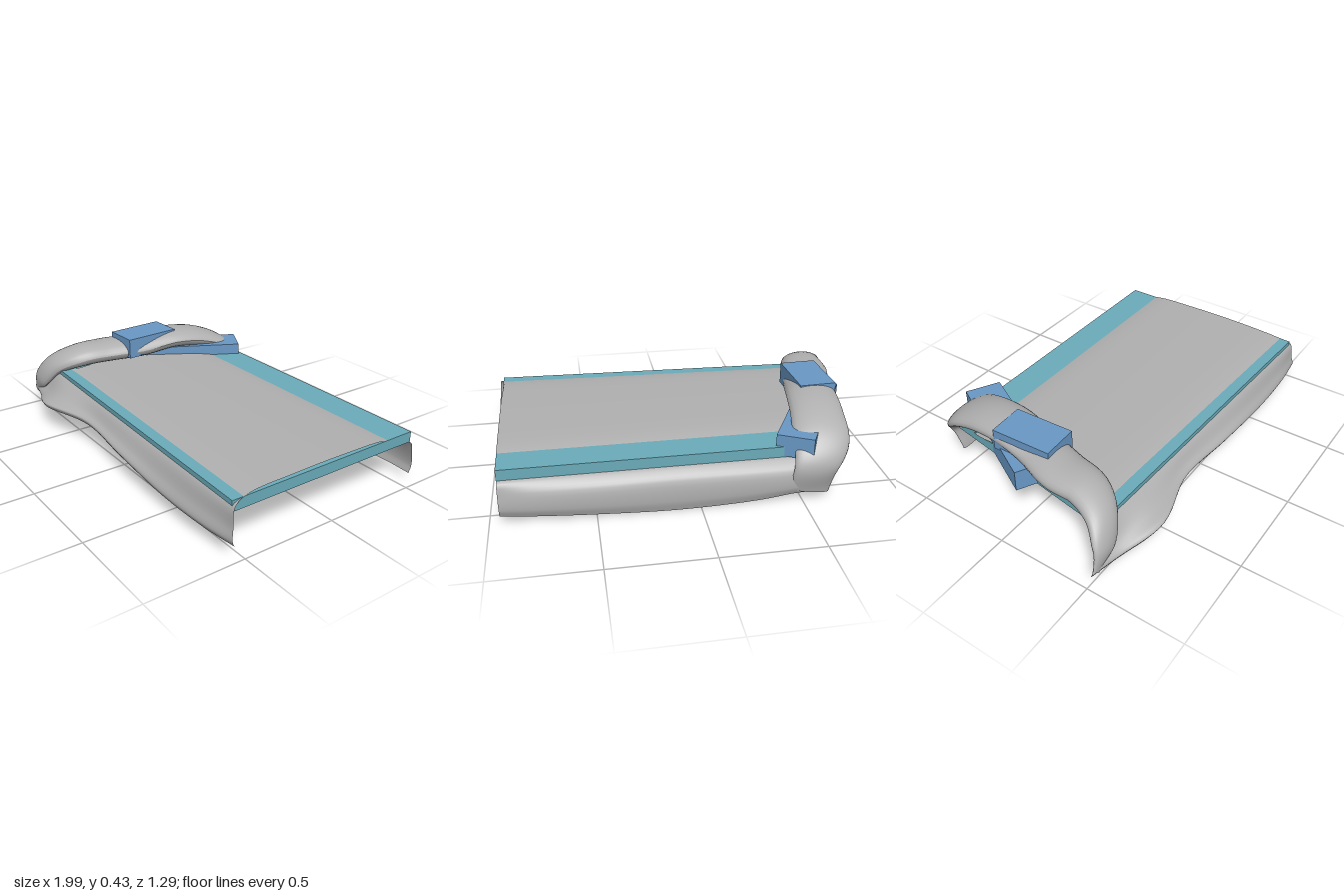
import * as THREE from 'three';

const V = (x, y, z) => new THREE.Vector3(x, y, z);
const spline = (pts) => new THREE.CatmullRomCurve3(pts, false, 'centripetal');

// Smooth surface through a grid of points given as columns
function gridGeometry(columns) {
  const rows = columns[0].length;
  const index = [];
  for (let i = 0; i < columns.length - 1; i++) {
    for (let j = 0; j < rows - 1; j++) {
      const a = i * rows + j, b = a + rows;
      index.push(a, a + 1, b, b, a + 1, b + 1);
    }
  }
  const geometry = new THREE.BufferGeometry().setFromPoints(columns.flat());
  geometry.setIndex(index);
  geometry.computeVertexNormals();
  return geometry;
}

// Flat board with slightly slanted left and front edges
function boardGeometry() {
  const shape = new THREE.Shape(
    [[-0.84, 0.47], [0.95, 0.535], [0.95, -0.55], [-0.68, -0.55]].map(([x, z]) => new THREE.Vector2(x, -z)));
  const geometry = new THREE.ExtrudeGeometry(shape, { depth: 0.055, bevelEnabled: false });
  return geometry.rotateX(-Math.PI / 2).translate(0, 0.22, 0);
}

// Sheet over the board with hanging skirts front and back
function sheetGeometry() {
  // xBack, xTop, xFront, back hem y, back z, front hem y, front z
  const stations = [
    [-0.62, -0.72, -1.0, 0.07, -0.60, 0.09, 0.53],
    [-0.58, -0.68, -0.85, 0.05, -0.61, 0.095, 0.565],
    [-0.45, -0.55, -0.61, 0.04, -0.615, 0.14, 0.645],
    [-0.28, -0.28, -0.28, 0.02, -0.615, 0.143, 0.57],
    [0.1, 0.1, 0.1, 0.004, -0.61, 0.12, 0.585],
    [0.5, 0.5, 0.5, 0.02, -0.61, 0.085, 0.588],
    [0.8, 0.8, 0.8, 0.035, -0.60, 0.08, 0.58],
    [0.95, 0.95, 0.99, 0.04, -0.585, 0.08, 0.56],
  ];
  const sections = stations.map(([xb, xt, xf, by, bz, fy, fz]) => {
    const edge = 0.5 + 0.037 * xt;
    return [
      V(xb, by, bz + 0.015),
      V(xb, by * 0.5 + 0.06, bz),
      V(xb, 0.165, bz + 0.008),
      V(xb, 0.207, -0.565),
      V(xb, 0.224, -0.53),
      V(xt, 0.277, -0.38),
      V(xt, 0.291, -0.12),
      V(xt, 0.291, 0.18),
      V(xt, 0.277, edge - 0.07),
      V(xt * 0.5 + xf * 0.5, 0.25, edge + 0.001),
      V(xt * 0.25 + xf * 0.75, fy * 0.45 + 0.125, edge * 0.4 + fz * 0.6),
      V(xf, fy + 0.025, fz),
      V(xf, fy, fz - 0.01),
    ];
  });
  const lengthwise = sections[0].map((_, r) => spline(sections.map((s) => s[r])));
  const columns = [];
  for (let i = 0; i <= 48; i++) {
    columns.push(spline(lengthwise.map((c) => c.getPoint(i / 48))).getPoints(48));
  }
  return gridGeometry(columns);
}

// Bunched fold arching across the end of the board
function foldGeometry() {
  // centre x, y, z, half width, half thickness
  const stations = [
    [-0.97, 0.105, 0.53, 0.025, 0.008],
    [-0.90, 0.2, 0.52, 0.07, 0.03],
    [-0.83, 0.29, 0.46, 0.085, 0.045],
    [-0.765, 0.338, 0.34, 0.11, 0.057],
    [-0.74, 0.345, 0.18, 0.125, 0.058],
    [-0.685, 0.352, 0, 0.12, 0.058],
    [-0.65, 0.376, -0.2, 0.13, 0.055],
    [-0.625, 0.352, -0.38, 0.135, 0.055],
    [-0.6, 0.29, -0.53, 0.14, 0.045],
    [-0.56, 0.19, -0.61, 0.11, 0.033],
    [-0.535, 0.05, -0.59, 0.105, 0.022],
  ];
  const path = spline(stations.map(([x, y, z]) => V(x, y, z)));
  const sizes = new THREE.SplineCurve(stations.map((s) => new THREE.Vector2(s[3], s[4])));
  const rings = [];
  for (let i = 0; i <= 60; i++) {
    const t = i / 60;
    const centre = path.getPoint(t), size = sizes.getPoint(t), tangent = path.getTangent(t);
    const side = V(1, 0, 0).addScaledVector(tangent, -tangent.x).normalize();
    const up = V(0, 0, 0).crossVectors(side, tangent);
    const ring = [];
    for (let j = 0; j <= 24; j++) {
      const a = (j / 24) * Math.PI * 2;
      ring.push(centre.clone()
        .addScaledVector(side, Math.cos(a) * size.x)
        .addScaledVector(up, Math.sin(a) * size.y));
    }
    rings.push(ring);
  }
  return gridGeometry(rings);
}

export function createModel() {
  const group = new THREE.Group();
  const teal = new THREE.MeshStandardMaterial({ name: 'teal', color: 0x6aabb9 });
  const blue = new THREE.MeshStandardMaterial({ name: 'blue', color: 0x6998c5 });
  const cloth = new THREE.MeshStandardMaterial({ name: 'grey cloth', color: 0xb0b0b0, side: THREE.DoubleSide });

  const add = (name, geometry, material) => {
    const mesh = new THREE.Mesh(geometry, material);
    mesh.name = name;
    group.add(mesh);
    return mesh;
  };

  add('mattressBoard', boardGeometry(), teal);
  add('drapedSheet', sheetGeometry(), cloth);
  add('bunchedFold', foldGeometry(), cloth);

  // Blocks resting on and under the fold
  const upper = add('upperBlock', new THREE.BoxGeometry(0.19, 0.112, 0.32), blue);
  upper.position.set(-0.677, 0.378, -0.045);
  upper.rotation.y = 0.047;
  const lower = add('lowerBlock', new THREE.BoxGeometry(0.185, 0.11, 0.7), blue);
  lower.position.set(-0.622, 0.28, -0.265);
  lower.rotation.y = -0.49;

  return group;
}
